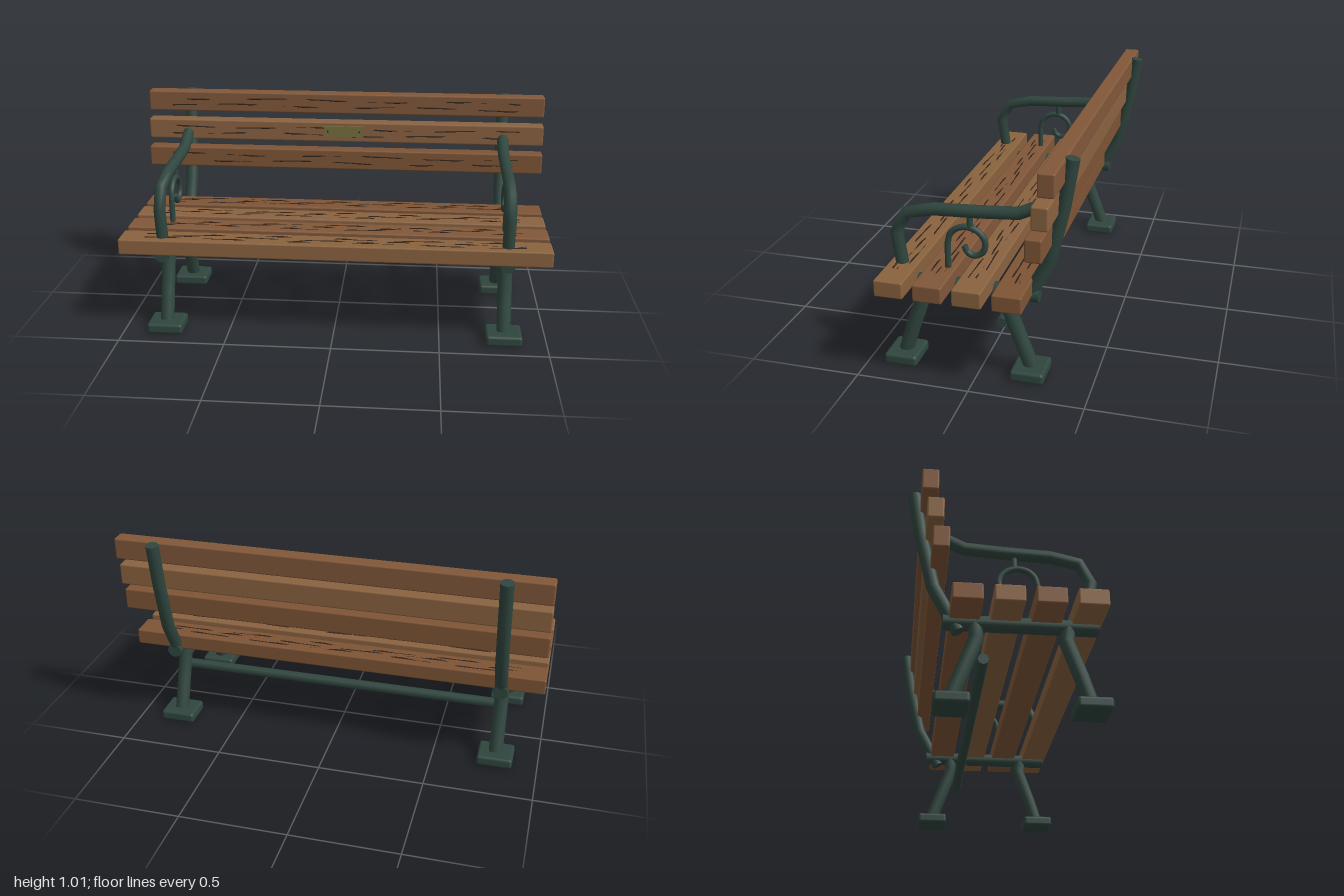
import * as THREE from 'three';
import { RoundedBoxGeometry } from 'three/addons/geometries/RoundedBoxGeometry.js';

const mat = (color) => new THREE.MeshStandardMaterial({ color });
const iron = mat(0x30463f);
const grainMat = mat(0x33241a);
const brass = mat(0x77703f);
const woods = [0x8a633e, 0x82583a, 0x8a6340, 0x7f5535].map(mat);

// Polyline with one tube ring per corner, so bends stay crisp
class Polyline extends THREE.Curve {
  constructor(points) { super(); this.points = points; }
  getPoint(t, target = new THREE.Vector3()) {
    const n = this.points.length - 1;
    const i = Math.min(Math.floor(t * n), n - 1);
    return target.lerpVectors(this.points[i], this.points[i + 1], t * n - i);
  }
  getPointAt(u, target) { return this.getPoint(u, target); }
  getTangentAt(u, target) { return this.getTangent(u, target); }
}

function add(parent, name, geometry, material, x = 0, y = 0, z = 0) {
  const mesh = new THREE.Mesh(geometry, material);
  mesh.name = name;
  mesh.position.set(x, y, z);
  parent.add(mesh);
  return mesh;
}

// Capped iron bar through [z, y] points in the plane of one end frame
function bar(parent, name, zy, radius, smooth = false) {
  const pts = zy.map(([z, y]) => new THREE.Vector3(0, y, z));
  const curve = smooth ? new THREE.CatmullRomCurve3(pts) : new Polyline(pts);
  const segments = smooth ? 48 : pts.length - 1;
  const group = new THREE.Group();
  group.name = name;
  add(group, name + 'Bar', new THREE.TubeGeometry(curve, segments, radius, 12), iron);
  for (const u of [0, 1]) {
    const p = curve.getPointAt(u);
    const cap = add(group, name + 'Cap', new THREE.CircleGeometry(radius, 12), iron, p.x, p.y, p.z);
    const out = curve.getTangentAt(u).multiplyScalar(u ? 1 : -1);
    cap.quaternion.setFromUnitVectors(new THREE.Vector3(0, 0, 1), out);
  }
  parent.add(group);
}

// Wavy grain line that dips in and out of the top (y = 0) surface
function grainLine(row, seed) {
  const pts = [];
  for (let i = 0; i <= 60; i++) {
    const x = -0.88 + (1.76 * i) / 60;
    const dip = -0.003 + 0.003 * Math.sin(x * 19 + seed * 2.3) + 0.002 * Math.sin(x * 43 + seed);
    pts.push(new THREE.Vector3(x, dip, row + 0.005 * Math.sin(x * 7 + seed * 1.7)));
  }
  return new THREE.TubeGeometry(new THREE.CatmullRomCurve3(pts), 120, 0.004, 5);
}

// Wooden slat; its grained face is the top or, when upright, the front
function slat(parent, name, index, y, z, height, depth, upright) {
  const group = new THREE.Group();
  group.name = name;
  group.position.set(0, y, z);
  add(group, 'board', new RoundedBoxGeometry(2, height, depth, 2, 0.008), woods[index % 4]);
  const grain = new THREE.Group();
  grain.name = 'grain';
  if (upright) {
    grain.rotation.x = Math.PI / 2;
    grain.position.z = depth / 2;
  } else grain.position.y = height / 2;
  const rows = upright ? [-0.016, 0.016] : [-0.024, 0, 0.024];
  rows.forEach((row, k) => add(grain, 'grainLine', grainLine(row, index * 3 + k), grainMat));
  group.add(grain);
  parent.add(group);
}

// One cast end frame
function endFrame(name, x) {
  const g = new THREE.Group();
  g.name = name;
  g.position.x = x;
  bar(g, 'seatRail', [[0.388, 0.391], [-0.26, 0.391]], 0.034);
  bar(g, 'backPost', [[-0.195, 0.35], [-0.302, 0.553], [-0.358, 0.8], [-0.392, 1.01]], 0.03);
  bar(g, 'armrest', [[0.337, 0.4], [0.367, 0.61], [0.32, 0.703], [0.195, 0.731],
    [0, 0.739], [-0.172, 0.751], [-0.3, 0.812]], 0.028);
  bar(g, 'frontLeg', [[0.265, 0.4], [0.254, 0.325], [0.31, 0.165], [0.347, 0.045]], 0.033);
  bar(g, 'rearLeg', [[-0.13, 0.4], [-0.12, 0.325], [-0.179, 0.165], [-0.224, 0.045]], 0.033);
  for (const z of [0.349, -0.222]) {
    add(g, 'foot', new RoundedBoxGeometry(0.168, 0.05, 0.148, 3, 0.014), iron, 0, 0.025, z);
  }
  // Scroll under the armrest
  bar(g, 'scrollStem', [[0.14, 0.42], [0.14, 0.585]], 0.0135);
  bar(g, 'scroll', [[0.14, 0.58], [0.127, 0.626], [0.095, 0.655], [0.05, 0.664], [0.005, 0.648],
    [-0.024, 0.61], [-0.021, 0.567], [0, 0.544], [0.026, 0.537], [0.052, 0.55], [0.066, 0.578]], 0.0135, true);
  bar(g, 'scrollHanger', [[0.04, 0.66], [0.04, 0.73]], 0.0135);
  return g;
}

export function createModel() {
  const model = new THREE.Group();
  model.name = 'parkBench';
  model.add(endFrame('leftFrame', 0.8), endFrame('rightFrame', -0.8));

  // Crossbar between the rear legs
  const crossbar = add(model, 'crossbar', new THREE.CylinderGeometry(0.024, 0.024, 1.6, 8), iron, 0, 0.232, -0.091);
  crossbar.rotation.z = Math.PI / 2;

  // Seat and back slats
  [0.338, 0.168, -0.001, -0.171].forEach((z, i) => slat(model, 'seatSlat', i, 0.4325, z, 0.076, 0.127, false));
  [[0.961, -0.331], [0.821, -0.306], [0.682, -0.281]].forEach(([y, z], i) =>
    slat(model, 'backSlat', i + 5, y, z, 0.102, 0.072, true));

  // Small plate with two screws on the middle back slat
  add(model, 'plate', new THREE.BoxGeometry(0.2, 0.054, 0.01), brass, 0, 0.826, -0.267);
  for (const x of [-0.08, 0.08]) {
    const screw = add(model, 'screw', new THREE.CylinderGeometry(0.005, 0.005, 0.004, 8), grainMat, x, 0.826, -0.261);
    screw.rotation.x = Math.PI / 2;
  }
  return model;
}
